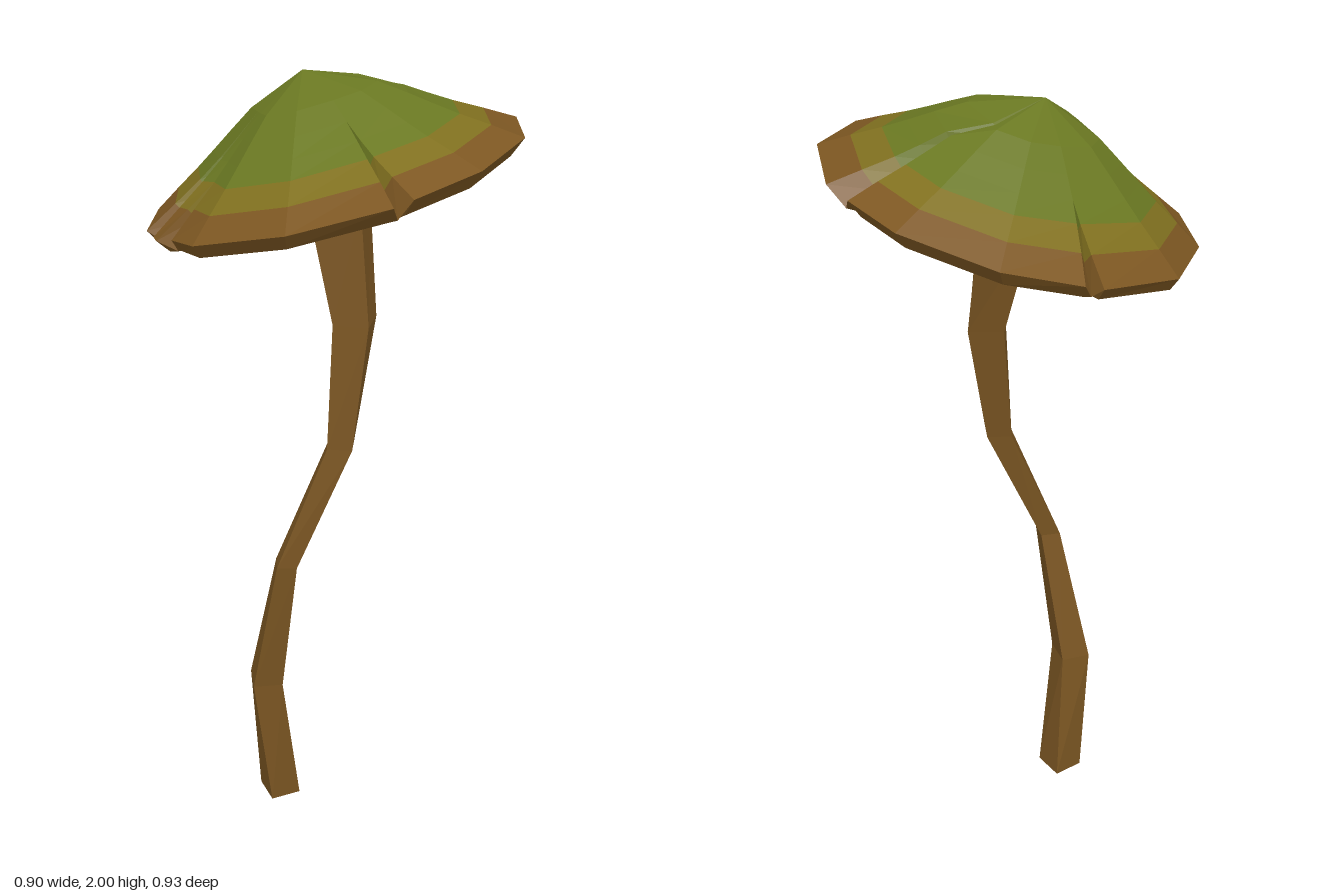
import * as THREE from 'three';

const mat = (name, color, side = THREE.FrontSide) => {
  const m = new THREE.MeshStandardMaterial({ color, flatShading: true, side });
  m.name = name;
  return m;
};

// Flat-shaded mesh from a list of quads / triangles (counter-clockwise corners)
function faceMesh(name, faces, material) {
  const pos = [];
  for (const f of faces)
    for (let i = 1; i < f.length - 1; i++) {
      const [a, b, c] = [f[0], f[i], f[i + 1]];
      if (a.distanceTo(b) < 1e-5 || b.distanceTo(c) < 1e-5 || a.distanceTo(c) < 1e-5) continue;
      for (const v of [a, b, c]) pos.push(v.x, v.y, v.z);
    }
  const g = new THREE.BufferGeometry();
  g.setAttribute('position', new THREE.Float32BufferAttribute(pos, 3));
  g.computeVertexNormals();
  const mesh = new THREE.Mesh(g, material);
  mesh.name = name;
  return mesh;
}

// Quads between two closed rings, the first one inside / above the second
const band = (a, b) => a.map((p, i) => {
  const j = (i + 1) % a.length;
  return [p, a[j], b[j], b[i]];
});
const fan = (c, ring) => ring.map((p, i) => [c, ring[(i + 1) % ring.length], p]);

// Cap rim outline, clockwise from above: plain points and cracks
const RIM = [
  { edges: [[-0.01, -0.465], [0.03, -0.455]], valley: [0.003, -0.43], tip: 0.6, depth: 0.035 },
  [0.21, -0.41], [0.38, -0.25],
  { edges: [[0.43, -0.10], [0.45, -0.02]], valley: [0.42, -0.06], tip: 0, depth: 0.035, bend: [-0.04, -0.045] },
  [0.39, 0.21], [0.23, 0.385],
  { edges: [[0.06, 0.445], [0.01, 0.465]], valley: [0.03, 0.425], tip: 0.48, depth: 0.04 },
  [-0.215, 0.415], [-0.39, 0.255],
  { edges: [[-0.42, 0.145], [-0.45, 0.105]], valley: [-0.40, 0.108], tip: 0.71, depth: 0.04 },
  { edges: [[-0.45, 0.06], [-0.455, -0.02]], valley: [-0.40, 0.02], tip: 0.4, depth: 0.05 },
  [-0.40, -0.21], [-0.24, -0.39],
];
const CENTRE = [-0.07, -0.05];

// Point at height h above the tilted rim plane
const tilted = (x, z, h) => new THREE.Vector3(x, 1.76 + 0.24 * x + 0.11 * z + h, z);
const mix = (a, b, t) => [a[0] + (b[0] - a[0]) * t, a[1] + (b[1] - a[1]) * t];

// One ring of the cap at fraction t of the way from centre to rim
function capRing(t, h, isUnder = false) {
  const ring = [];
  for (const r of RIM) {
    if (Array.isArray(r)) {
      ring.push(tilted(...mix(CENTRE, r, t), h));
      continue;
    }
    const w = Math.max(0, (t - r.tip) / (1 - r.tip));
    const v = mix(CENTRE, r.valley, t);
    if (r.bend && t < 0.4) { v[0] += r.bend[0]; v[1] += r.bend[1]; }
    const edge = e => tilted(...mix(v, mix(CENTRE, e, t), w), h);
    const low = isUnder ? Math.min(h, -r.depth - 0.005) : h - r.depth * Math.sqrt(w);
    ring.push(edge(r.edges[0]), tilted(v[0], v[1], low), edge(r.edges[1]));
  }
  return ring;
}

function makeCap(brown) {
  const cap = new THREE.Group();
  cap.name = 'cap';
  const crown = [[0.34, 0.2], [0.48, 0.157], [0.6, 0.119], [0.71, 0.085]].map(([t, h]) => capRing(t, h));
  const crownFaces = fan(tilted(...CENTRE, 0.262), crown[0]);
  for (let i = 0; i < 3; i++) crownFaces.push(...band(crown[i], crown[i + 1]));
  const brim = capRing(0.85, 0.045), rim = capRing(1, 0);
  const lip = capRing(0.94, -0.037, true), belly = capRing(0.5, -0.085, true);
  const under = [...band(lip, belly), ...fan(tilted(...CENTRE, -0.1), belly).map(f => f.reverse())];
  cap.add(
    faceMesh('capCrown', crownFaces, mat('mossGreen', 0x6a7822)),
    faceMesh('capBand', band(crown[3], brim), mat('olive', 0x80701f)),
    faceMesh('capRim', [...band(brim, rim), ...band(rim, lip)], brown),
    faceMesh('capUnderside', under, brown),
  );
  return cap;
}

// Crooked, twisted four-sided stem: [y, x min, x max, z min, z max, twist in degrees]
function makeStem() {
  const sections = [
    [0, -0.21, -0.115, -0.055, 0.045, -10],
    [0.38, -0.24, -0.155, -0.035, 0.055, 6],
    [0.76, -0.18, -0.12, 0.035, 0.10, 11],
    [1.09, -0.05, 0.03, 0.04, 0.125, 20],
    [1.41, -0.03, 0.09, 0, 0.12, 27],
    [1.7, -0.08, 0.09, -0.08, 0.085, 24],
  ];
  const rings = sections.map(([y, x0, x1, z0, z1, twist]) => [-45, 45, 135, 225].map(deg => {
    const a = THREE.MathUtils.degToRad(deg + twist);
    const reach = Math.cos(THREE.MathUtils.degToRad(45 - Math.abs(twist)));
    return new THREE.Vector3(
      THREE.MathUtils.mapLinear(Math.cos(a), -reach, reach, x0, x1), y,
      THREE.MathUtils.mapLinear(Math.sin(a), -reach, reach, z0, z1));
  }));
  const faces = [];
  for (let i = 0; i < rings.length - 1; i++) faces.push(...band(rings[i + 1], rings[i]));
  return faceMesh('stem', faces, mat('stemBrown', 0x7a5522, THREE.DoubleSide));
}

export function createModel() {
  const model = new THREE.Group();
  model.name = 'mushroom';
  model.add(makeStem(), makeCap(mat('capBrown', 0x7d5722)));
  return model;
}
